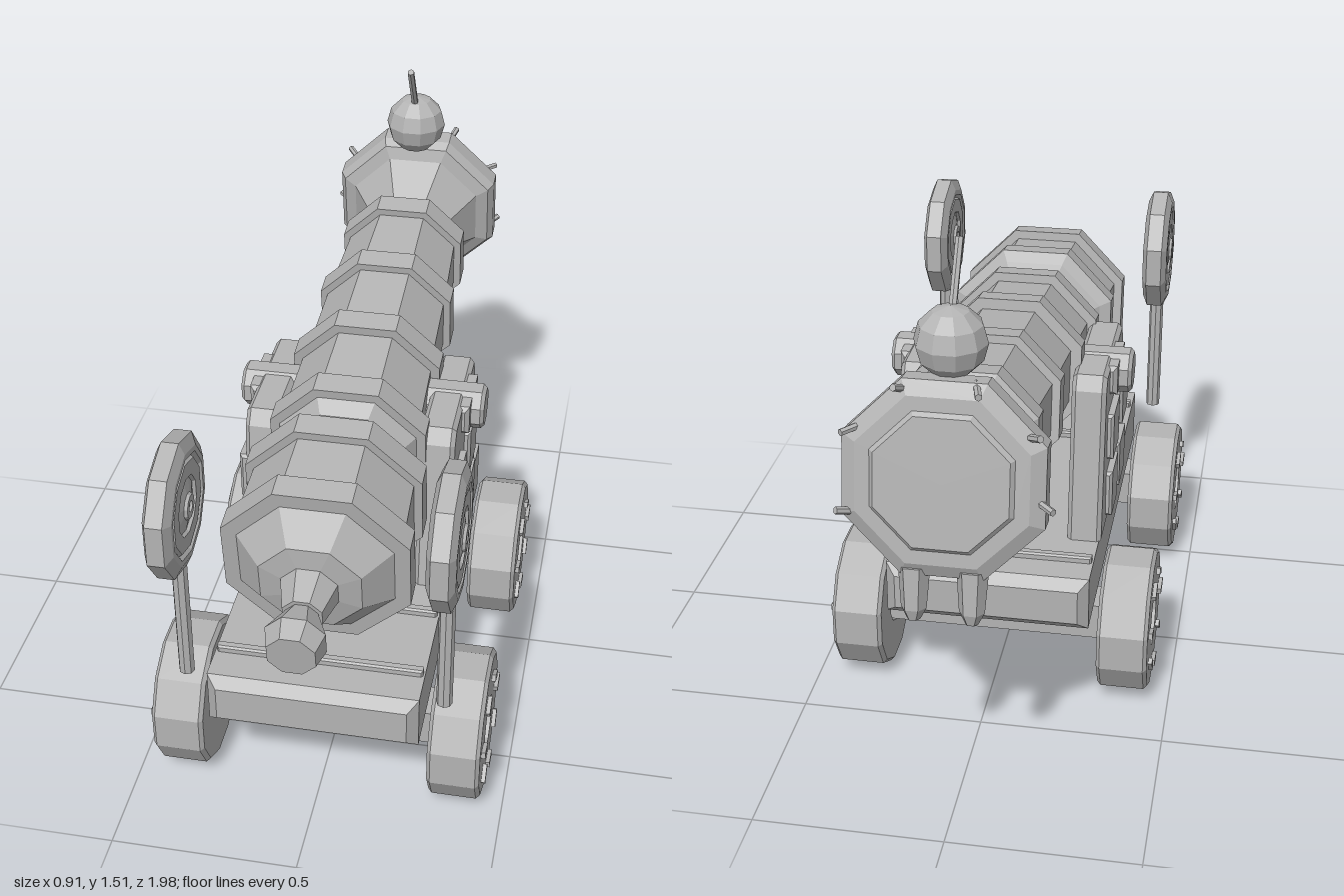
import * as THREE from 'three';

const grey = new THREE.MeshStandardMaterial({ color: 0xb4b4b4 });
grey.name = 'iron grey';

// Faceted mesh with hard edges
function add(parent, name, geometry, x = 0, y = 0, z = 0) {
  const g = geometry.index ? geometry.toNonIndexed() : geometry;
  g.computeVertexNormals();
  const mesh = new THREE.Mesh(g, grey);
  mesh.name = name;
  mesh.position.set(x, y, z);
  parent.add(mesh);
  return mesh;
}

// Lathe with flats facing the axes; profile entries are [height, flat distance]
function facetLathe(profile, sides) {
  const k = 1 / Math.cos(Math.PI / sides);
  const pts = profile.map(([t, r]) => new THREE.Vector2(r * k, t));
  return new THREE.LatheGeometry(pts, sides, Math.PI / sides);
}

// Prism from a 2D outline with chamfered edges, centred in depth
function chamferPrism(points, depth, bevel) {
  const shape = new THREE.Shape(points.map(([x, y]) => new THREE.Vector2(x, y)));
  const g = new THREE.ExtrudeGeometry(shape, {
    depth: depth - 2 * bevel, bevelEnabled: true, bevelSize: bevel,
    bevelThickness: bevel, bevelOffset: -bevel, bevelSegments: 1,
  });
  return g.translate(0, 0, bevel - depth / 2);
}

function chamferBox(w, h, d, b) {
  return chamferPrism([[-w / 2, -h / 2], [w / 2, -h / 2], [w / 2, h / 2], [-w / 2, h / 2]], d, b);
}

function buildBarrel() {
  const barrel = new THREE.Group();
  barrel.name = 'barrel';
  // Local y runs along the bore towards the muzzle
  add(barrel, 'barrelTube', facetLathe([
    [-0.76, 0], [-0.74, 0.13], [-0.67, 0.2], [-0.67, 0.24], [-0.6, 0.24],
    [-0.6, 0.215], [-0.435, 0.21], [-0.435, 0.232], [-0.365, 0.232], [-0.35, 0.2],
    [-0.31, 0.155], [-0.28, 0.155], [-0.245, 0.185], [-0.245, 0.21], [-0.175, 0.21],
    [-0.175, 0.185], [0.03, 0.18], [0.03, 0.205], [0.1, 0.205], [0.1, 0.175],
    [0.33, 0.17], [0.33, 0.19], [0.4, 0.19], [0.4, 0.168], [0.62, 0.158],
    [0.62, 0.178], [0.69, 0.178], [0.75, 0.11], [0.87, 0.19], [0.885, 0.225],
    [0.91, 0.24], [0.965, 0.24], [0.985, 0.205], [0.985, 0.17], [0.995, 0.16], [0.995, 0],
  ], 8));
  add(barrel, 'breechKnob', facetLathe([
    [-0.965, 0], [-0.965, 0.06], [-0.91, 0.075], [-0.835, 0.04],
    [-0.835, 0.05], [-0.72, 0.08], [-0.72, 0],
  ], 8));
  // Small nails round the muzzle rim
  [0.5, 1.15, 1.9, 2.6, 3.3, 5.9].forEach((a, i) => {
    const nail = add(barrel, 'rimNail', new THREE.CylinderGeometry(0.009, 0.009, 0.07, 6),
      Math.cos(a) * 0.24, 0.975, Math.sin(a) * 0.24);
    nail.rotation.set(i % 2 ? 0.3 : -0.2, 0, -Math.cos(a) * 0.8);
  });
  // Blunt teeth below the muzzle
  for (const s of [-1, 1]) {
    const tooth = add(barrel, 'muzzleTooth', facetLathe(
      [[-0.07, 0], [-0.07, 0.014], [-0.04, 0.027], [0.07, 0.034], [0.07, 0]], 6), s * 0.07, 0.95, -0.29);
    tooth.rotation.x = Math.PI / 2;
  }
  const tilt = 0.143;
  barrel.rotation.x = -(Math.PI / 2 - tilt);
  barrel.position.set(0, 0.86, 0.03);
  return barrel;
}

function buildWheel(side, z) {
  const wheel = new THREE.Group();
  wheel.name = 'wheel';
  const rim = facetLathe([
    [-0.07, 0.075], [-0.07, 0.185], [-0.06, 0.196], [0.06, 0.196],
    [0.07, 0.185], [0.07, 0.075], [-0.07, 0.075],
  ], 12);
  add(wheel, 'wheelRim', rim).rotation.z = Math.PI / 2;
  // Raised studs on the outer face
  for (let i = 0; i < 7; i++) {
    const a = (i / 7) * Math.PI * 2 + 0.2;
    const stud = add(wheel, 'wheelStud', new THREE.BoxGeometry(0.014, 0.018, 0.05),
      side * 0.074, Math.sin(a) * 0.135, Math.cos(a) * 0.135);
    stud.rotation.x = i % 3 === 0 ? -a : Math.PI / 2 - a;
  }
  wheel.position.set(side * 0.372, 0.2, z);
  return wheel;
}

function buildDisc(side) {
  const disc = new THREE.Group();
  disc.name = 'discOnPole';
  // Concentric stepped faces on both sides
  const half = [[0.036, 0], [0.036, 0.012], [0.042, 0.014], [0.042, 0.03], [0.034, 0.034],
    [0.026, 0.07], [0.034, 0.075], [0.034, 0.115], [0.026, 0.12], [0.036, 0.13], [0.036, 0.145], [0.022, 0.175]];
  const profile = half.map(([t, r]) => [-t, r]).concat(half.slice().reverse());
  add(disc, 'disc', facetLathe(profile, 10), 0, 0.95, 0).rotation.z = Math.PI / 2;
  add(disc, 'discPole', new THREE.CylinderGeometry(0.021, 0.021, 0.42, 8), 0, 0.62, 0);
  disc.position.set(side * 0.341, 0, 0.743);
  return disc;
}

function buildCheek(side) {
  const cheek = new THREE.Group();
  cheek.name = 'sideCheek';
  // Tapered plate
  const plate = chamferPrism([[-0.315, 0.42], [0.195, 0.42], [0.15, 0.87],
    [0.125, 0.91], [-0.235, 0.91], [-0.265, 0.87]], 0.095, 0.012);
  add(cheek, 'cheekPlate', plate.rotateY(Math.PI / 2), side * 0.238, 0, 0);
  // Four raised panels
  for (const [z, y] of [[0.2, 0.705], [-0.02, 0.705], [0.158, 0.525], [-0.02, 0.525]]) {
    add(cheek, 'cheekPanel', chamferBox(0.03, 0.138, 0.145, 0.008), side * 0.288, y, z);
  }
  // Trunnion cap and clamp
  add(cheek, 'trunnionClamp', chamferBox(0.09, 0.085, 0.19, 0.012), side * 0.26, 0.862, 0.035);
  const pin = facetLathe([[-0.09, 0], [-0.09, 0.058], [0.08, 0.058], [0.09, 0.048], [0.09, 0]], 8);
  add(cheek, 'trunnion', pin, side * 0.25, 0.858, 0.035).rotation.z = -side * Math.PI / 2;
  return cheek;
}

export function createModel() {
  const model = new THREE.Group();
  model.name = 'cannon';

  // Carriage bed with cross battens
  add(model, 'carriageBed', chamferBox(0.56, 0.155, 1.22, 0.028), 0, 0.352, 0.188);
  for (const z of [0.67, 0.43, -0.3]) {
    add(model, 'bedBatten', chamferBox(0.55, 0.03, 0.026, 0.005), 0, 0.433, z);
  }

  // Axles and wheels
  for (const z of [0.58, -0.2]) {
    add(model, 'axle', new THREE.BoxGeometry(0.72, 0.105, 0.105), 0, 0.203, z);
    for (const s of [-1, 1]) model.add(buildWheel(s, z));
  }

  for (const s of [-1, 1]) model.add(buildCheek(s), buildDisc(s));
  model.add(buildBarrel());

  // Ball with fuse above the muzzle
  add(model, 'fuseBall', new THREE.SphereGeometry(0.088, 10, 6), 0, 1.298, -0.81);
  const fuse = add(model, 'fuse', new THREE.CylinderGeometry(0.01, 0.01, 0.18, 6), 0, 1.432, -0.745);
  fuse.rotation.x = 0.58;

  return model;
}
